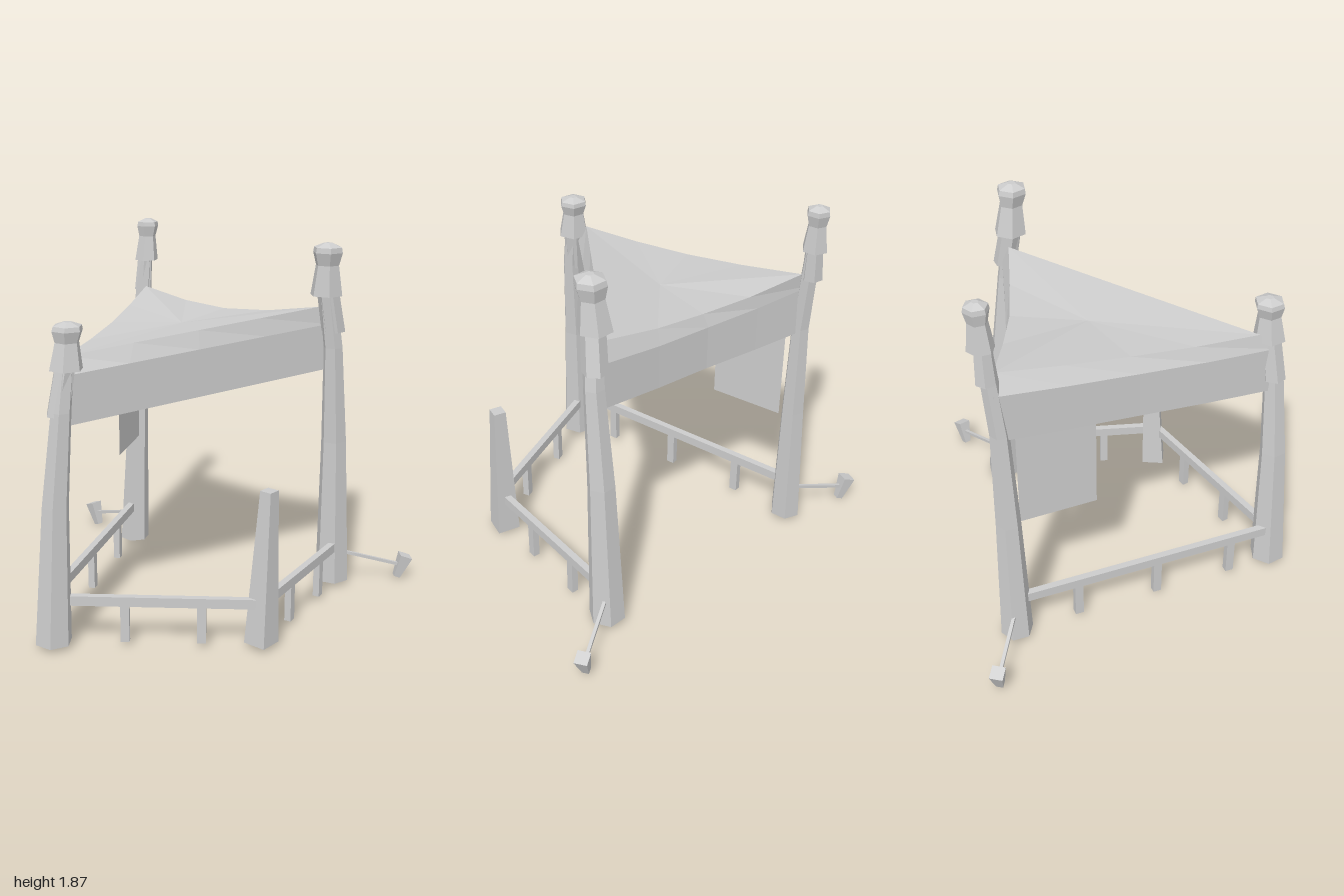
import * as THREE from 'three';

const V = (x, y, z) => new THREE.Vector3(x, y, z);

export function createModel() {
  const model = new THREE.Group();
  model.name = 'canopyShelter';
  const grey = new THREE.MeshStandardMaterial({ color: 0xcccccc, side: THREE.DoubleSide });
  grey.name = 'plainGrey';

  function add(name, geometry, parent = model) {
    const mesh = new THREE.Mesh(geometry, grey);
    mesh.name = name;
    parent.add(mesh);
    return mesh;
  }

  // Faceted geometry from a list of corner triples
  function facets(points) {
    const g = new THREE.BufferGeometry().setFromPoints(points);
    g.computeVertexNormals();
    return g;
  }

  // Faceted loft through horizontal rings [x, y, z, radius]
  function loft(rings, sides, turn = 0, capped = true) {
    const loops = rings.map(([x, y, z, r]) => Array.from({ length: sides }, (_, i) => {
      const a = turn + i / sides * Math.PI * 2;
      return V(x + r * Math.sin(a), y, z + r * Math.cos(a));
    }));
    const tris = [];
    for (let k = 0; k < loops.length - 1; k++) {
      for (let i = 0; i < sides; i++) {
        const j = (i + 1) % sides, p = loops[k], q = loops[k + 1];
        tris.push(p[i], p[j], q[j], p[i], q[j], q[i]);
      }
    }
    if (capped) {
      const first = loops[0], last = loops[loops.length - 1];
      for (let i = 1; i < sides - 1; i++) {
        tris.push(first[0], first[i + 1], first[i], last[0], last[i], last[i + 1]);
      }
    }
    return facets(tris);
  }

  // Rectangular bar between two points
  function bar(name, a, b, width, height, parent) {
    const mesh = add(name, new THREE.BoxGeometry(width, height, a.distanceTo(b)), parent);
    mesh.position.copy(a).add(b).multiplyScalar(0.5);
    mesh.lookAt(b);
    return mesh;
  }

  // Tall leaning posts, each with a loose sleeve and a carved cap
  const posts = [
    { name: 'frontPost', turn: 0.3,
      leg: [[-0.425, 0.02, 0.74, 0.09], [-0.4, 0.7, 0.725, 0.066], [-0.365, 1.15, 0.705, 0.05], [-0.35, 1.42, 0.67, 0.042]],
      sleeve: [[-0.385, 1.13, 0.7, 0.056], [-0.35, 1.38, 0.67, 0.052]],
      cap: [-0.35, 1.34, 0.672, 0.08], top: [-0.342, 0.66], h: 0.215 },
    { name: 'backRightPost', turn: 0.1,
      leg: [[-0.62, 0.02, -0.635, 0.08], [-0.595, 0.7, -0.64, 0.06], [-0.575, 1.2, -0.65, 0.045], [-0.56, 1.68, -0.695, 0.038]],
      sleeve: [[-0.572, 1.48, -0.69, 0.05], [-0.56, 1.68, -0.695, 0.04]],
      cap: [-0.555, 1.64, -0.7, 0.063], top: [-0.547, -0.708], h: 0.225 },
    { name: 'backLeftPost', turn: 0.45,
      leg: [[0.608, 0.02, -0.475, 0.09], [0.603, 0.8, -0.44, 0.067], [0.595, 1.3, -0.395, 0.05], [0.565, 1.6, -0.36, 0.045]],
      sleeve: [[0.592, 1.38, -0.4, 0.06], [0.565, 1.6, -0.365, 0.055]],
      cap: [0.558, 1.565, -0.37, 0.083], top: [0.565, -0.35], h: 0.26 },
  ];
  for (const p of posts) {
    const group = new THREE.Group();
    group.name = p.name;
    model.add(group);
    add('leg', loft(p.leg, 6, p.turn), group);
    add('sleeve', loft(p.sleeve, 6, p.turn + 0.2, false), group);
    const [x, y, z, r] = p.cap;
    const profile = [[0, 1], [0.58, 0.72], [0.82, 0.92], [0.92, 0.86], [1, 0.25]];
    add('cap', loft(profile.map(([t, s]) => [
      x + (p.top[0] - x) * t, y + p.h * t, z + (p.top[1] - z) * t, r * s,
    ]), 6, p.turn), group);
  }

  // Cloth canopy: sagging top, sloping shoulder and hanging valance on each side
  const corners = [
    { inner: V(-0.385, 1.385, 0.61), outer: V(-0.395, 1.3, 0.69) },
    { inner: V(0.52, 1.5, -0.39), outer: V(0.56, 1.41, -0.42) },
    { inner: V(-0.54, 1.5, -0.655), outer: V(-0.605, 1.42, -0.67) },
  ];
  const drop = [0.235, 0.23, 0.24];
  const sag = [0, 0.06, 0.025];
  const pull = [0, 0.035, 0.01];
  const centre = V(-0.12, 1.42, -0.14);
  const topTris = [];
  const names = ['frontValance', 'backValance', 'rightValance'];
  corners.forEach((c, k) => {
    const n = (k + 1) % 3, d = corners[n], steps = 4, rows = [];
    for (let i = 0; i <= steps; i++) {
      const t = i / steps, bow = 4 * t * (1 - t);
      const inner = c.inner.clone().lerp(d.inner, t);
      const outer = c.outer.clone().lerp(d.outer, t);
      const inward = centre.clone().sub(inner).setY(0).normalize().multiplyScalar(pull[k] * bow);
      inner.add(inward).y -= sag[k] * bow;
      outer.add(inward).y -= sag[k] * bow * 0.7;
      const hem = outer.clone();
      hem.y -= drop[k] + (drop[n] - drop[k]) * t - sag[k] * bow * 0.25;
      rows.push([inner, outer, hem]);
    }
    const tris = [];
    for (let i = 0; i < steps; i++) {
      const p = rows[i], q = rows[i + 1];
      topTris.push(centre, p[0], q[0]);
      for (let j = 0; j < 2; j++) {
        tris.push(p[j], p[j + 1], q[j + 1], p[j], q[j + 1], q[j]);
      }
    }
    add(names[k], facets(tris));
  });
  add('canopyTop', facets(topTris));

  // Cloth banner hanging below the canopy
  const banner = [V(-0.505, 0.66, -0.2), V(-0.56, 0.66, -0.58), V(-0.56, 1.24, -0.58), V(-0.505, 1.2, -0.2)];
  add('banner', facets([0, 1, 2, 0, 2, 3].map((i) => banner[i])));

  // Short tapered corner post
  add('cornerPost', loft([[0.495, 0.02, 0.385, 0.083], [0.513, 0.775, 0.36, 0.043]], 4, 0.45));

  // Low fence: rails with small uprights
  const fences = [
    { name: 'frontFence', a: V(-0.4, 0.225, 0.7), b: V(0.495, 0.225, 0.4), at: [0.32, 0.705] },
    { name: 'leftFence', a: V(0.505, 0.225, 0.37), b: V(0.63, 0.225, -0.43), at: [0.335, 0.75] },
    { name: 'rightFence', a: V(-0.46, 0.225, 0.72), b: V(-0.615, 0.225, -0.6), at: [0.165, 0.47, 0.785] },
  ];
  for (const f of fences) {
    const group = new THREE.Group();
    group.name = f.name;
    model.add(group);
    const rail = bar('rail', f.a, f.b, 0.034, 0.048, group);
    for (const t of f.at) {
      const upright = add('upright', new THREE.BoxGeometry(0.034, 0.185, 0.042), group);
      upright.position.lerpVectors(f.a, f.b, t).setY(0.112);
      upright.quaternion.copy(rail.quaternion);
    }
  }

  // Guy ropes tied to wedge stakes
  const guys = [
    { name: 'rightGuy', from: V(-0.64, 0.17, -0.64), foot: V(-0.925, 0.005, -0.775), head: V(-0.965, 0.13, -0.79) },
    { name: 'leftGuy', from: V(0.64, 0.17, -0.5), foot: V(0.925, 0.01, -0.645), head: V(0.965, 0.13, -0.66) },
  ];
  for (const g of guys) {
    const group = new THREE.Group();
    group.name = g.name;
    model.add(group);
    bar('rope', g.from, g.foot.clone().lerp(g.head, 0.55), 0.016, 0.016, group);
    const axis = g.head.clone().sub(g.foot);
    const stake = add('stake', new THREE.CylinderGeometry(0.046, 0.024, axis.length(), 4).toNonIndexed(), group);
    stake.geometry.computeVertexNormals();
    stake.geometry.rotateY(Math.PI / 4 + 0.45 * Math.sign(g.head.x));
    stake.position.copy(g.foot).add(g.head).multiplyScalar(0.5);
    stake.quaternion.setFromUnitVectors(V(0, 1, 0), axis.normalize());
  }
  return model;
}
